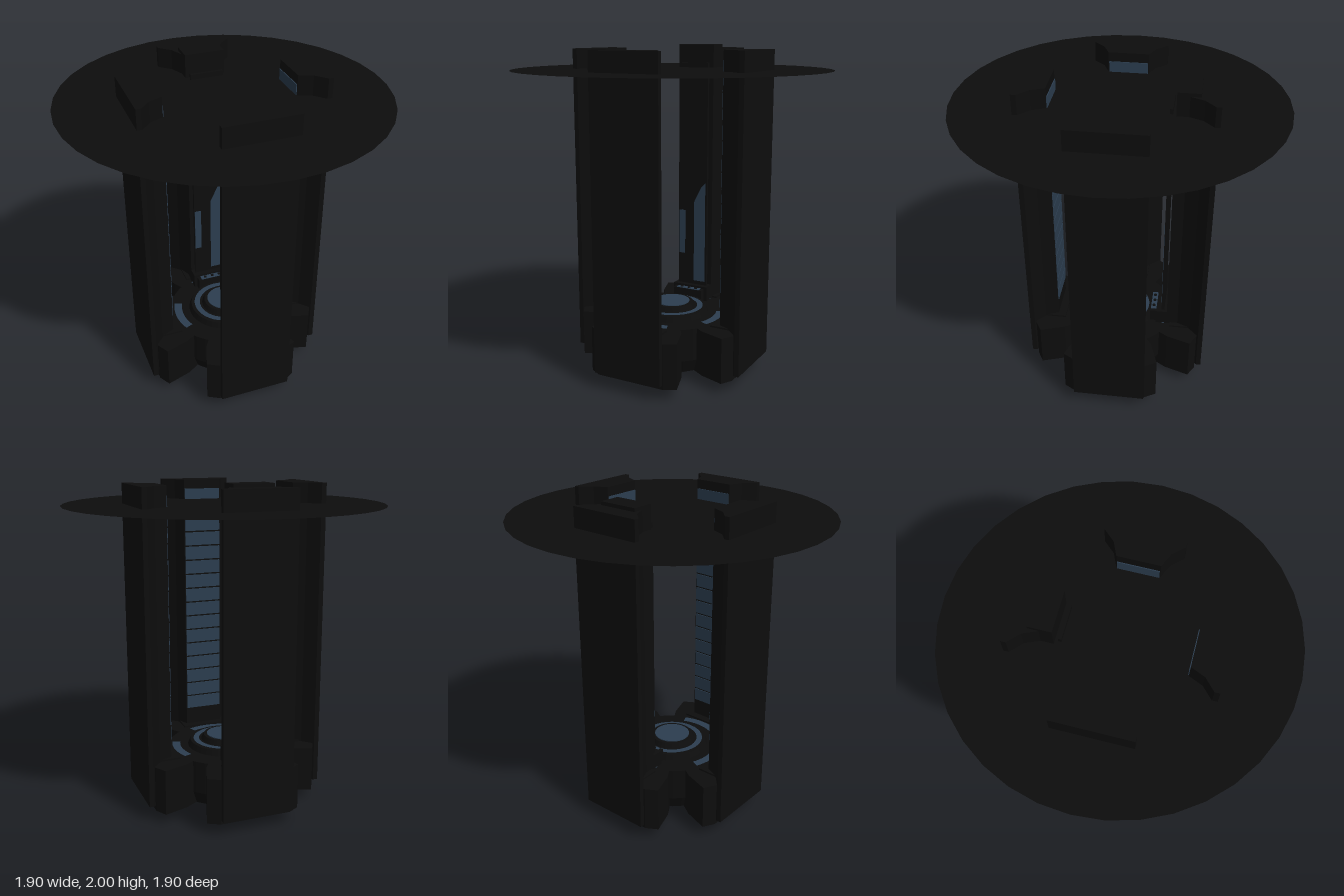
import * as THREE from 'three';

export function createModel() {
  const model = new THREE.Group();
  model.name = 'pillaredPlatform';

  const black = new THREE.MeshStandardMaterial({ color: 0x0d0d0d, flatShading: true });
  black.name = 'black';
  const blackSheet = new THREE.MeshStandardMaterial({ color: 0x0d0d0d, side: THREE.DoubleSide });
  blackSheet.name = 'black sheet';
  const blue = new THREE.MeshStandardMaterial({ color: 0x2c3e50, side: THREE.DoubleSide });
  blue.name = 'slate blue';

  function add(parent, name, geometry, material) {
    const mesh = new THREE.Mesh(geometry, material);
    mesh.name = name;
    parent.add(mesh);
    return mesh;
  }

  // Box given by its limits on each axis
  function box(parent, name, [x0, x1], [y0, y1], [z0, z1], material) {
    const mesh = add(parent, name, new THREE.BoxGeometry(x1 - x0, y1 - y0, z1 - z0), material);
    mesh.position.set((x0 + x1) / 2, (y0 + y1) / 2, (z0 + z1) / 2);
    return mesh;
  }

  // Upright prism from a mirrored plan of [distance from axis, half width], reaching toward -z
  function prism(parent, name, plan, y0, y1, material) {
    const right = plan.map(([r, w]) => new THREE.Vector2(w, r));
    const left = plan.map(([r, w]) => new THREE.Vector2(-w, r)).reverse();
    const geometry = new THREE.ExtrudeGeometry(new THREE.Shape([...right, ...left]), {
      depth: y1 - y0, bevelEnabled: false,
    });
    geometry.rotateX(-Math.PI / 2).translate(0, y0, 0);
    return add(parent, name, geometry, material);
  }

  function drum(name, rTop, rBottom, y0, y1, material) {
    const mesh = add(model, name, new THREE.CylinderGeometry(rTop, rBottom, y1 - y0, 36), material);
    mesh.position.y = (y0 + y1) / 2;
  }

  function flatRing(parent, name, r0, r1, y, start = 0, length = Math.PI * 2) {
    const geometry = new THREE.RingGeometry(r0, r1, 36, 1, start, length);
    geometry.rotateX(-Math.PI / 2).translate(0, y, 0);
    return add(parent, name, geometry, blue);
  }

  // Ceiling disc, a single sheet
  const ceiling = add(model, 'ceilingDisc', new THREE.CircleGeometry(0.95, 36), blackSheet);
  ceiling.rotation.x = -Math.PI / 2;
  ceiling.position.y = 1.86;

  // Stepped hub and standing pad
  drum('bottomPlate', 0.18, 0.18, 0, 0.03, black);
  drum('lowerHub', 0.22, 0.22, 0.03, 0.08, black);
  drum('hubTaper', 0.35, 0.32, 0.07, 0.15, black);
  drum('hub', 0.35, 0.35, 0.15, 0.35, black);
  drum('padStep', 0.215, 0.23, 0.35, 0.385, black);
  drum('pad', 0.13, 0.145, 0.385, 0.415, black);
  drum('padLight', 0.11, 0.11, 0.415, 0.42, blue);
  flatRing(model, 'padRing', 0.16, 0.195, 0.388);

  // Four pillars on flared feet; the first stands at the back
  for (let k = 0; k < 4; k++) {
    const quarter = new THREE.Group();
    quarter.name = ['backPillar', 'rightPillar', 'frontPillar', 'leftPillar'][k];
    quarter.rotation.y = k * Math.PI / 2;
    model.add(quarter);

    prism(quarter, 'column', [[0.39, 0.12], [0.47, 0.155], [0.53, 0.22], [0.56, 0.22]], 0.1, 1.98, black);
    prism(quarter, 'foot', [[0.22, 0.17], [0.33, 0.24], [0.48, 0.29], [0.52, 0.22]], 0.07, 0.35, black);
    box(quarter, 'footCap', [-0.15, 0.15], [0.35, 0.36], [-0.46, -0.34], black);
    flatRing(quarter, 'footLight', 0.28, 0.33, 0.354, Math.PI / 2 - 0.4, 0.8);

    // Lit slats on the inner face
    if (k > 0) {
      for (let i = 0; i < 16; i++) {
        const y = 0.47 + i * 0.0915;
        box(quarter, 'lightSlat', [-0.115, 0.115], [y, y + 0.082], [-0.391, -0.385], blue);
      }
    }
  }

  // Taller control spine in front of the back pillar
  box(model, 'controlSpine', [-0.12, 0.12], [0.35, 2], [-0.45, -0.32], black);

  // Screen with lit panels
  box(model, 'screen', [-0.1, 0.1], [0.44, 1.89], [-0.302, -0.284], black);
  box(model, 'leftScreenPanel', [-0.097, -0.055], [0.65, 0.94], [-0.285, -0.28], blue);
  const panel = new THREE.Shape([
    new THREE.Vector2(0.01, 0.47), new THREE.Vector2(0.09, 0.47),
    new THREE.Vector2(0.09, 1.13), new THREE.Vector2(0.06, 1.1),
    new THREE.Vector2(0.01, 1.0),
  ]);
  add(model, 'rightScreenPanel', new THREE.ShapeGeometry(panel), blue).position.z = -0.281;

  // Console shelf below the screen
  box(model, 'consoleShelf', [-0.1, 0.1], [0.35, 0.43], [-0.26, -0.21], black);
  box(model, 'consoleBack', [-0.12, 0.12], [0.35, 0.445], [-0.32, -0.25], black);
  box(model, 'consolePanel', [-0.08, 0.08], [0.43, 0.433], [-0.249, -0.213], blue);
  for (const x of [-0.05, 0, 0.05]) {
    const button = add(model, 'consoleButton', new THREE.CylinderGeometry(0.01, 0.01, 0.006, 12), black);
    button.position.set(x, 0.435, -0.231);
  }

  return model;
}
